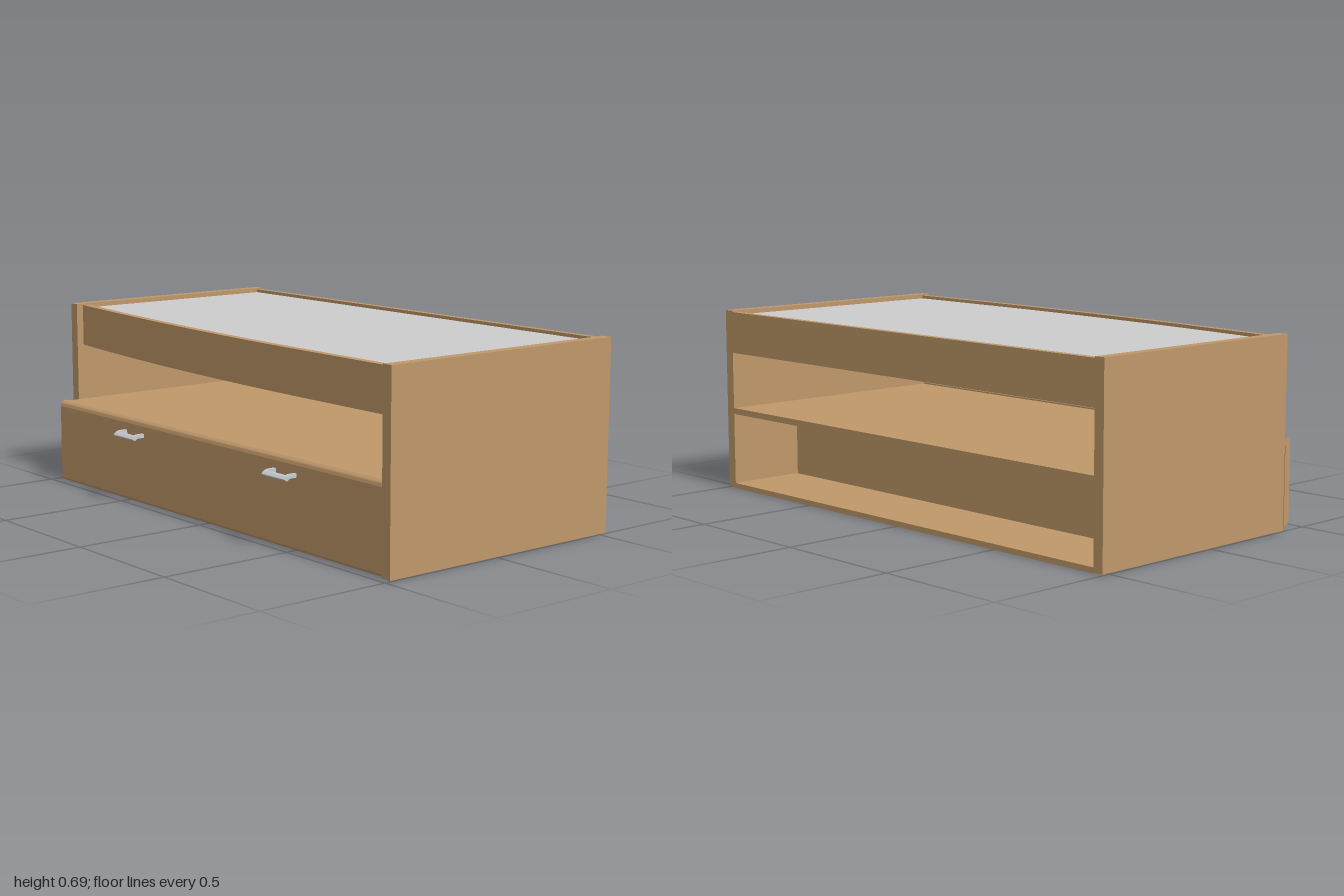
import * as THREE from 'three';
import { toCreasedNormals } from 'three/addons/utils/BufferGeometryUtils.js';

export function createModel() {
  const wood = new THREE.MeshStandardMaterial({ color: 0xc0986a });
  wood.name = 'wood';
  const grey = new THREE.MeshStandardMaterial({ color: 0xcccccc });
  grey.name = 'greyPanel';
  const metal = new THREE.MeshStandardMaterial({ color: 0xc8ccd0 });
  metal.name = 'metal';

  const model = new THREE.Group();
  model.name = 'cabinet';

  const add = (name, geometry, material, parent = model) => {
    const mesh = new THREE.Mesh(geometry, material);
    mesh.name = name;
    parent.add(mesh);
    return mesh;
  };
  // Box given by its limits on each axis
  const box = (name, x0, x1, y0, y1, z0, z1, material = wood, parent = model) => {
    const mesh = add(name, new THREE.BoxGeometry(x1 - x0, y1 - y0, z1 - z0), material, parent);
    mesh.position.set((x0 + x1) / 2, (y0 + y1) / 2, (z0 + z1) / 2);
    return mesh;
  };
  // Outline in plan (x, z) raised from y0 to y1
  const plan = (name, points, y0, y1, material) => {
    const geo = new THREE.ExtrudeGeometry(new THREE.Shape(points), { depth: y1 - y0, bevelEnabled: false });
    geo.rotateX(Math.PI / 2);
    add(name, toCreasedNormals(geo, 0.5), material).position.y = y1;
  };
  // Outline in side profile (z, y) drawn out along x
  const profile = (name, shape, x0, x1, material, parent = model) => {
    const geo = new THREE.ExtrudeGeometry(shape, { depth: x1 - x0, bevelEnabled: false, curveSegments: 8 });
    geo.rotateY(-Math.PI / 2);
    geo.scale(1, 1, 1);
    const mesh = add(name, toCreasedNormals(geo, 0.6), material, parent);
    mesh.position.x = x1;
    return mesh;
  };

  // Side panels, the left-hand one in front view being shallower
  box('leftSidePanel', 0.96, 1, 0.003, 0.695, -0.53, 0.48);
  box('rightSidePanel', -1, -0.96, 0.003, 0.695, -0.53, 0.39);

  // Curved front rail and the boards that follow it
  const frontCurve = (offset) => {
    const points = [];
    for (let i = 0; i <= 32; i++) {
      const x = -0.96 + (1.92 * i) / 32;
      const t = Math.max(0, (0.6 - x) / 1.56);
      points.push(new THREE.Vector2(x, 0.472 - 0.11 * t * t - offset));
    }
    return points;
  };
  plan('curvedFrontRail', [...frontCurve(0.027), ...frontCurve(0).reverse()], 0.532, 0.69, wood);
  const backCorners = [new THREE.Vector2(0.96, -0.505), new THREE.Vector2(-0.96, -0.505)];
  plan('topPanel', [...frontCurve(0.027), ...backCorners], 0.655, 0.678, grey);
  plan('topUndersideBoard', [...frontCurve(0.027), ...backCorners], 0.54, 0.56, wood);
  box('backRail', -0.96, 0.96, 0.532, 0.69, -0.53, -0.505);

  // Shelf and the floor behind the drawer
  box('shelf', -0.96, 0.96, 0.293, 0.316, -0.53, 0.446);
  box('rearFloor', -0.96, 0.96, 0, 0.02, -0.53, -0.23);

  // Drawer box with a recessed grey bottom
  const drawer = new THREE.Group();
  drawer.name = 'drawer';
  model.add(drawer);
  box('drawerBack', -0.955, 0.955, 0.003, 0.29, -0.23, -0.215, wood, drawer);
  for (const s of [-1, 1]) {
    box('drawerSide', s * 0.9475 - 0.0075, s * 0.9475 + 0.0075, 0.003, 0.29, -0.215, 0.448, wood, drawer);
  }
  box('drawerBottom', -0.94, 0.94, 0.018, 0.026, -0.215, 0.448, grey, drawer);

  // Drawer front with a rounded top edge and a small chamfer below
  const front = new THREE.Shape();
  front.moveTo(0.449, 0.003);
  front.lineTo(0.465, 0.003);
  front.lineTo(0.476, 0.014);
  front.lineTo(0.476, 0.298);
  front.absarc(0.453, 0.298, 0.023, 0, Math.PI / 2, false);
  front.lineTo(0.449, 0.321);
  front.closePath();
  profile('drawerFront', front, -0.957, 0.959, wood, drawer);

  // Handles: two bent arms joined by a grip along the lower end
  const bend = (zStart, angleStart) => {
    const s = new THREE.Shape();
    const cz = 0.5, cy = 0.238;
    const a0 = angleStart, a1 = 0.6;
    if (zStart < cz) {
      s.moveTo(zStart, cy + 0.02);
      s.lineTo(cz, cy + 0.02);
    }
    s.absarc(cz, cy, 0.02, a0, a1, true);
    s.absarc(cz, cy, 0.034, a1, a0, false);
    if (zStart < cz) s.lineTo(zStart, cy + 0.034);
    s.closePath();
    return s;
  };
  for (const x of [-0.44, 0.462]) {
    const handle = new THREE.Group();
    handle.name = 'handle';
    handle.position.x = x;
    drawer.add(handle);
    for (const s of [-1, 1]) {
      profile('handleArm', bend(0.474, Math.PI / 2), s * 0.056 - 0.007, s * 0.056 + 0.007, metal, handle);
    }
    profile('handleGrip', bend(0.51, 1.2), -0.049, 0.049, metal, handle);
  }
  return model;
}
